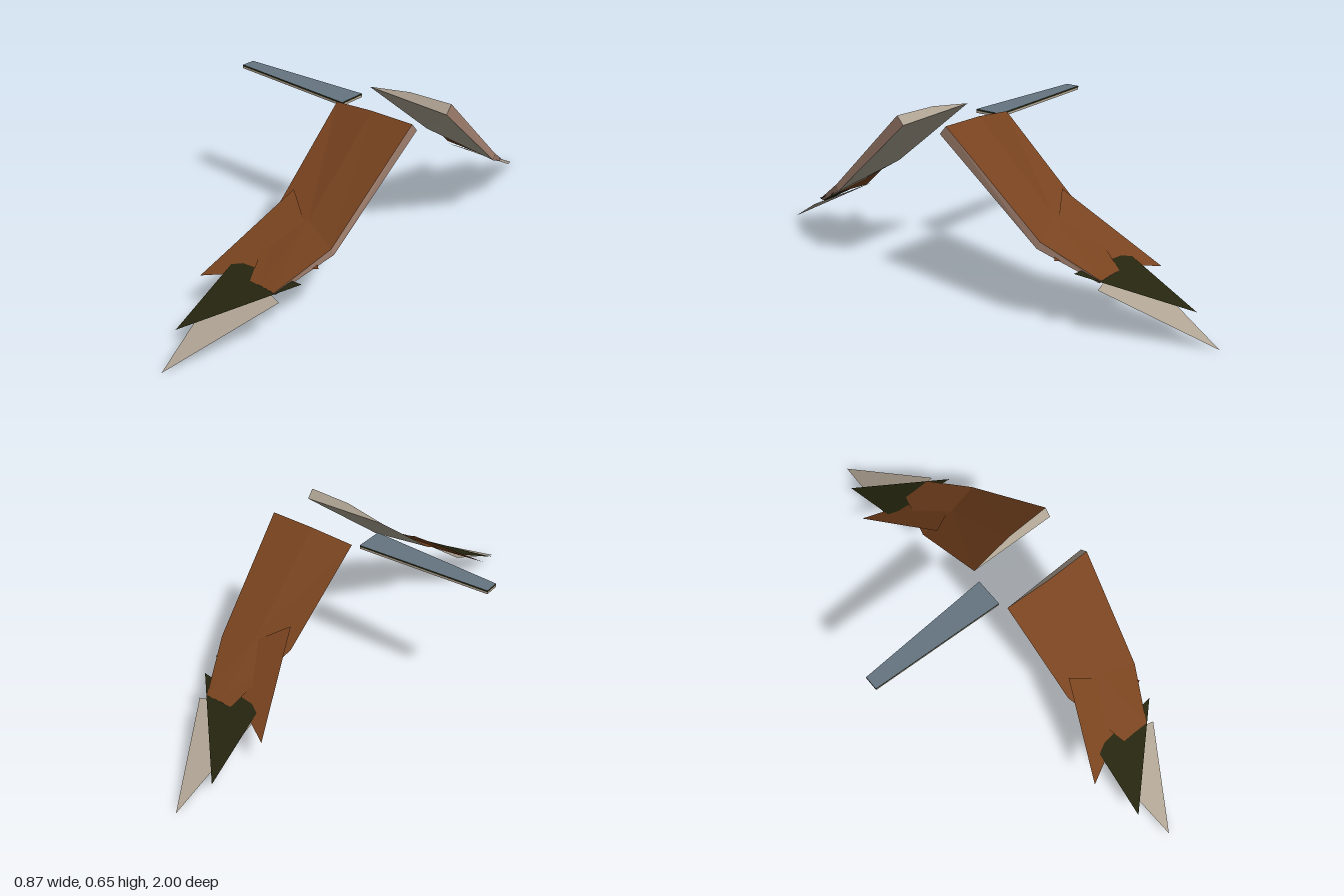
import * as THREE from 'three';

const paint = (name, color) => {
  const m = new THREE.MeshStandardMaterial({ color, side: THREE.DoubleSide, flatShading: true });
  m.name = name;
  return m;
};

// Mesh from flat polygons (each a loop of corners); side -1 mirrors it across z = 0
function facets(name, polygons, material, side = 1) {
  const pos = [];
  for (const poly of polygons) {
    for (let i = 1; i < poly.length - 1; i++) {
      const tri = [poly[0], poly[i], poly[i + 1]];
      if (side < 0) tri.reverse();
      for (const [x, y, z] of tri) pos.push(x, y, z * side);
    }
  }
  const geo = new THREE.BufferGeometry();
  geo.setAttribute('position', new THREE.Float32BufferAttribute(pos, 3));
  geo.computeVertexNormals();
  const mesh = new THREE.Mesh(geo, material);
  mesh.name = name;
  return mesh;
}

// Wing cross-sections: trailing edge, mid top, leading top, leading bottom
const ROOT = [[0.09, 0.623, 0.09], [0.26, 0.643, 0.107], [0.435, 0.646, 0.11], [0.435, 0.615, 0.083]];
const ELBOW = [[0.11, 0.35, 0.42], [0.26, 0.353, 0.428], [0.395, 0.315, 0.47], [0.398, 0.29, 0.459]];
const TIP = [[0.2, 0.2, 0.65], [0.25, 0.201, 0.65], [0.31, 0.2, 0.652], [0.31, 0.19, 0.645]];

// Single-sheet feathers at the wing end
const INNER = [[0.145, 0.41, 0.375], [0.015, 0.168, 0.70], [0.385, 0.26, 0.52]];
const MIDDLE = [[0.095, 0.221, 0.615], [0.085, 0.075, 0.88], [0.375, 0.23, 0.59]];
const OUTER = [[0.085, 0.215, 0.60], [0.145, 0, 1], [0.34, 0.18, 0.66]];

// Strip of the wing skin between ring corners i and j, from root to tip
const strip = (i, j) => [[ROOT, ELBOW], [ELBOW, TIP]].map(([a, b]) => [a[i], b[i], b[j], a[j]]);

export function createModel() {
  const brown = paint('brown', 0x78431f);
  const olive = paint('dark olive', 0x25250f);
  const taupe = paint('pale taupe', 0xafa393);
  const under = paint('underside grey', 0xaca594);
  const edge = paint('edge tan', 0xa48270);
  const slate = paint('slate', 0x657582);

  const model = new THREE.Group();
  model.name = 'wingsAndTail';

  for (const side of [1, -1]) {
    const wing = new THREE.Group();
    wing.name = side > 0 ? 'frontWing' : 'backWing';
    wing.add(
      facets('wingTop', [...strip(0, 1), ...strip(1, 2)], brown, side),
      facets('wingLeadingEdge', strip(2, 3), edge, side),
      facets('wingUnderside', strip(3, 0), under, side),
      facets('wingEnds', [ROOT, [...TIP].reverse()], taupe, side),
      facets('innerFeather', [INNER], brown, side),
      facets('middleFeather', [MIDDLE], olive, side),
      facets('outerFeather', [OUTER], taupe, side),
    );
    model.add(wing);
  }

  // Tapered tail: a dark-rimmed upper layer over a pale lower layer
  const outline = (y) => [[-0.438, y, 0.027], [0.083, y, 0.054], [0.083, y, -0.054], [-0.438, y, -0.027]];
  const rim = (low, high) => outline(low).map((p, i) => {
    const k = (i + 1) % 4;
    return [p, outline(low)[k], outline(high)[k], outline(high)[i]];
  });
  const tail = new THREE.Group();
  tail.name = 'tail';
  tail.add(
    facets('tailTop', [outline(0.606)], slate),
    facets('tailUpperRim', rim(0.6, 0.606), olive),
    facets('tailLowerRim', rim(0.592, 0.6), taupe),
    facets('tailUnderside', [outline(0.592).reverse()], under),
  );
  model.add(tail);

  return model;
}
